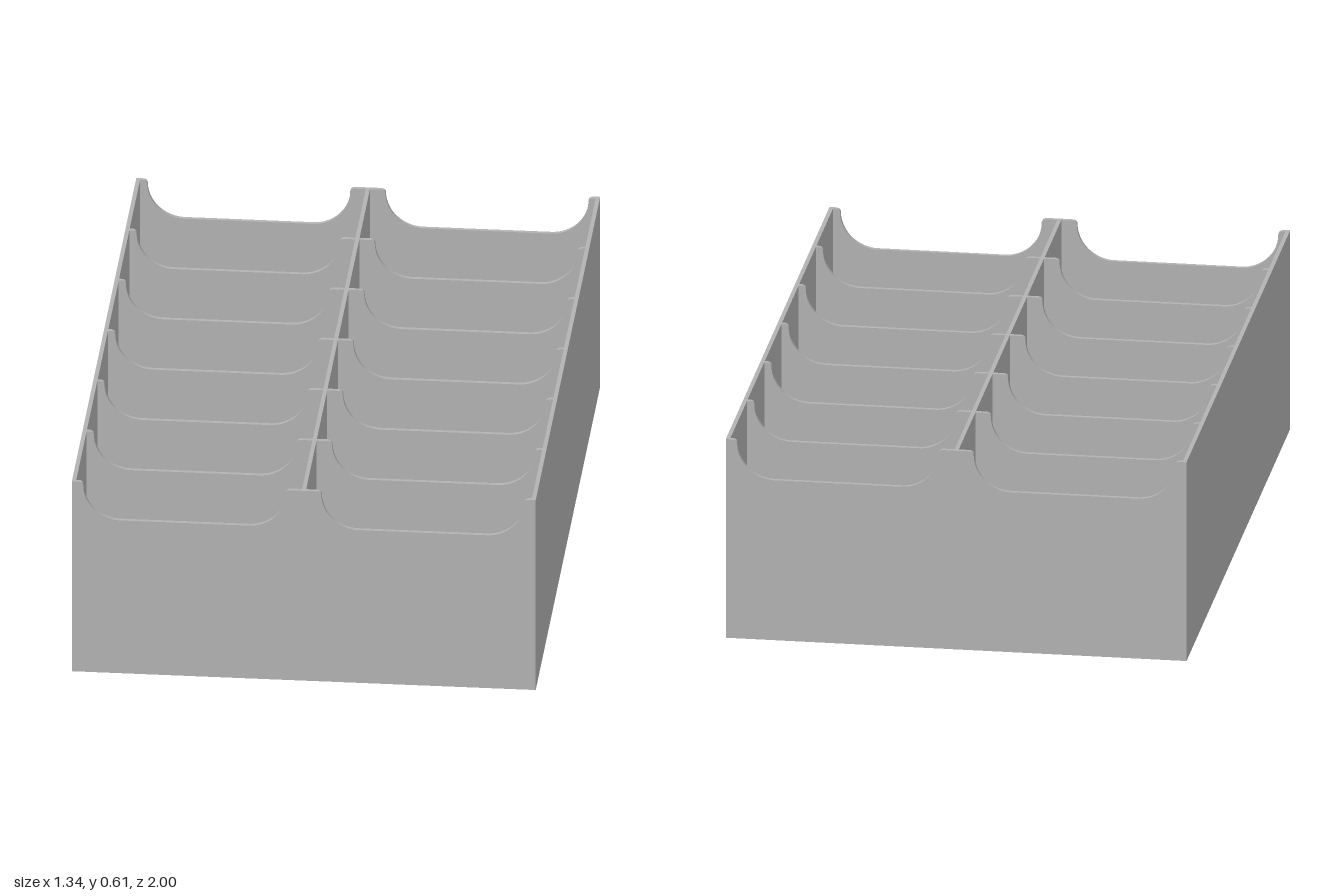
import * as THREE from 'three';

const W = 1.336, H = 0.605, L = 2, T = 0.012;
const ROWS = 6;

export function createModel() {
  const group = new THREE.Group();
  const grey = new THREE.MeshStandardMaterial({ color: 0xb2b2b2 });
  grey.name = 'plain grey';

  const add = (name, geometry, x, y, z) => {
    const mesh = new THREE.Mesh(geometry, grey);
    mesh.name = name;
    mesh.position.set(x, y, z);
    group.add(mesh);
  };

  // Floor and long walls
  add('floor', new THREE.BoxGeometry(W - 2 * T, T, L), 0, T / 2, 0);
  for (const s of [-1, 1]) {
    add(s > 0 ? 'leftWall' : 'rightWall', new THREE.BoxGeometry(T, H, L), s * (W - T) / 2, H / 2, 0);
  }
  add('centreWall', new THREE.BoxGeometry(T, H - T, L - 2 * T), 0, (H + T) / 2, 0);

  // Cross wall outline with two finger scoops
  const half = W / 2 - T;
  const r = 0.108, f = 0.015, low = 0.487;
  const profile = new THREE.Shape();
  profile.moveTo(-half, 0);
  profile.lineTo(half, 0);
  profile.lineTo(half, H);
  const scoop = (right, left) => {
    profile.lineTo(right + f, H);
    profile.quadraticCurveTo(right + 0.002, H, right, low + r);
    profile.absarc(right - r, low + r, r, 0, -Math.PI / 2, true);
    profile.lineTo(left + r, low);
    profile.absarc(left + r, low + r, r, -Math.PI / 2, -Math.PI, true);
    profile.quadraticCurveTo(left - 0.002, H, left - f, H);
  };
  scoop(0.635, 0.051);
  scoop(-0.051, -0.635);
  profile.lineTo(-half, H);
  profile.closePath();

  // End walls and dividers share the outline
  const crossWall = new THREE.ExtrudeGeometry(profile, { depth: T, bevelEnabled: false, curveSegments: 16 });
  const pitch = (L - T) / ROWS;
  for (let i = 0; i <= ROWS; i++) {
    const name = i === 0 ? 'backWall' : i === ROWS ? 'frontWall' : 'divider' + i;
    add(name, crossWall, 0, 0, -L / 2 + i * pitch);
  }
  return group;
}
